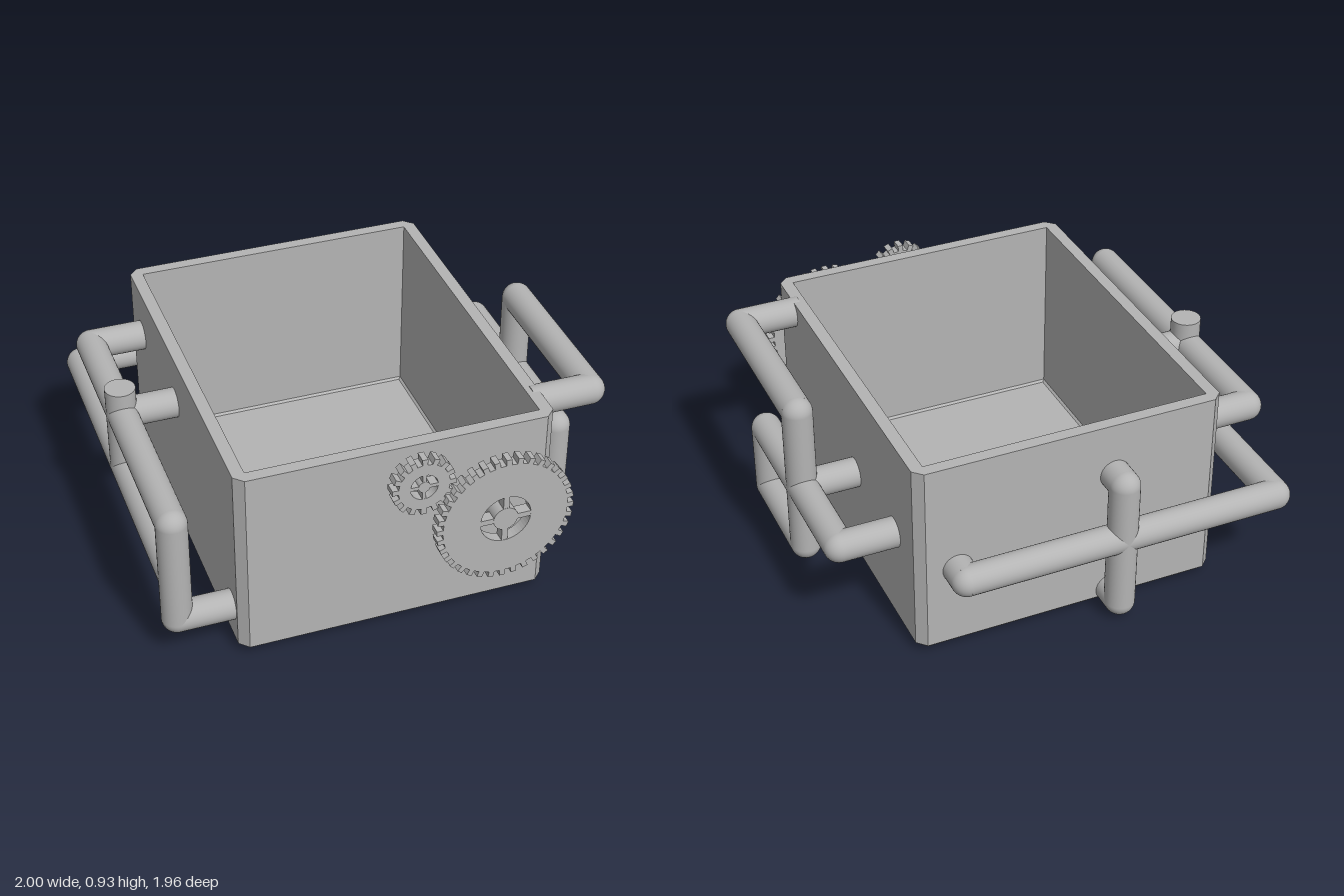
import * as THREE from 'three';

const R = 0.067; // pipe radius
const grey = new THREE.MeshStandardMaterial({ color: 0xb4b4b4 });
grey.name = 'plain grey';

function add(parent, geometry, name) {
  const mesh = new THREE.Mesh(geometry, grey);
  mesh.name = name;
  parent.add(mesh);
  return mesh;
}

// Rectangle with cut corners, at height y
function ring(hx, hz, cut, y) {
  const pts = [
    [hx, -hz + cut], [hx, hz - cut], [hx - cut, hz], [-hx + cut, hz],
    [-hx, hz - cut], [-hx, -hz + cut], [-hx + cut, -hz], [hx - cut, -hz],
  ];
  return pts.map(([x, z]) => new THREE.Vector3(x, y, z));
}

// Flat-faced skin through a series of rings
function loft(rings) {
  const pos = [];
  const tri = (a, b, c) => {
    const area = b.clone().sub(a).cross(c.clone().sub(a)).length();
    if (area > 1e-9) for (const p of [a, b, c]) pos.push(p.x, p.y, p.z);
  };
  for (let k = 0; k + 1 < rings.length; k++) {
    for (let i = 0; i < 8; i++) {
      const j = (i + 1) % 8, lo = rings[k], hi = rings[k + 1];
      tri(lo[i], hi[i], lo[j]);
      tri(hi[i], hi[j], lo[j]);
    }
  }
  const g = new THREE.BufferGeometry();
  g.setAttribute('position', new THREE.Float32BufferAttribute(pos, 3));
  g.computeVertexNormals();
  return g;
}

// Straight pipes along a path, with a ball at every inner bend
function pipe(parent, name, path) {
  const group = new THREE.Group();
  group.name = name;
  const pts = path.map((p) => new THREE.Vector3(...p));
  for (let i = 0; i + 1 < pts.length; i++) {
    const dir = pts[i + 1].clone().sub(pts[i]);
    const m = add(group, new THREE.CylinderGeometry(R, R, dir.length(), 32), 'pipeRun');
    m.position.copy(pts[i]).addScaledVector(dir, 0.5);
    m.quaternion.setFromUnitVectors(new THREE.Vector3(0, 1, 0), dir.normalize());
    if (i > 0) add(group, new THREE.SphereGeometry(R, 32, 20), 'pipeElbow').position.copy(pts[i]);
  }
  parent.add(group);
}

// Spoked gear on a shaft that reaches back to the box
function gear(parent, name, o) {
  const group = new THREE.Group();
  group.name = name;
  const shape = new THREE.Shape();
  const step = (Math.PI * 2) / o.teeth;
  for (let i = 0; i < o.teeth; i++) {
    [[-0.25, o.root], [-0.23, o.outer], [0.23, o.outer], [0.25, o.root]].forEach(([f, r], k) => {
      const a = (i + f) * step + Math.PI / 2;
      const x = r * Math.cos(a), y = r * Math.sin(a);
      if (i + k === 0) shape.moveTo(x, y); else shape.lineTo(x, y);
    });
  }
  shape.closePath();
  shape.holes.push(new THREE.Path().absarc(0, 0, o.hole, 0, Math.PI * 2, true));
  const depth = o.front - o.back;
  add(group, new THREE.ExtrudeGeometry(shape, { depth, bevelEnabled: false, curveSegments: 24 }), 'gearRim');
  // Four spokes between hub and rim
  const len = o.hole - o.hub + 0.01;
  for (let i = 0; i < 4; i++) {
    const a = (i * Math.PI) / 2, r = (o.hole + o.hub) / 2;
    const s = add(group, new THREE.BoxGeometry(len, o.spoke, depth - 0.002), 'gearSpoke');
    s.position.set(r * Math.cos(a), r * Math.sin(a), depth / 2);
    s.rotation.z = a;
  }
  const shaftLen = o.front - 0.82;
  const shaft = add(group, new THREE.CylinderGeometry(o.hub, o.hub, shaftLen, 32), 'gearShaft');
  shaft.rotation.x = Math.PI / 2;
  shaft.position.z = depth - shaftLen / 2;
  group.position.set(o.x, o.y, o.back);
  parent.add(group);
}

export function createModel() {
  const model = new THREE.Group();
  model.name = 'pipeAndGearBox';

  // Open box with chamfered corners and base
  const hx = 0.692, hz = 0.832, t = 0.055, H = 0.925, c = 0.04;
  const box = add(model, loft([
    ring(0, 0, 0, 0),
    ring(hx - c, hz - c, 0.017, 0),
    ring(hx, hz, c, c),
    ring(hx, hz, c, H),
    ring(hx - t, hz - t, 0, H),
    ring(hx - t, hz - t, 0, 0.06),
    ring(hx - t - 0.01, hz - t - 0.01, 0, 0.05),
    ring(0, 0, 0, 0.05),
  ]), 'openBox');
  box.position.set(-0.003, 0, 0.008);

  // Pipes on the left (+x) side
  const L = 0.933, wl = 0.66;
  pipe(model, 'leftLoopPipe', [
    [wl, 0.863, 0.64], [L, 0.863, 0.64], [L, 0.863, -0.117], [L, 0.17, -0.117],
    [L, 0.17, 0.358], [L, 0.48, 0.358], [L, 0.48, -0.575], [wl, 0.48, -0.575],
  ]);
  pipe(model, 'leftBracePipe', [[L, 0.48, -0.117], [wl, 0.48, -0.117]]);

  // Pipes on the right (-x) side, the lower one wrapping round the back
  const wr = -0.665, B = -0.913, wb = -0.79;
  pipe(model, 'rightUpperPipe', [
    [wr, 0.698, -0.625], [-L, 0.698, -0.625], [-L, 0.698, 0.725],
    [-L, 0.2, 0.725], [wr, 0.2, 0.725],
  ]);
  pipe(model, 'wrapAroundPipe', [
    [-L, 0.413, 0.725], [-L, 0.413, B], [0.51, 0.413, B], [0.51, 0.413, wb],
  ]);
  pipe(model, 'rightStandPipe', [[-L, 0.413, -0.07], [-L, 0.83, -0.07]]);
  pipe(model, 'rightBracePipe', [[-L, 0.698, -0.07], [wr, 0.698, -0.07]]);

  // Upright pipe on the back
  pipe(model, 'backUprightPipe', [
    [-0.198, 0.68, wb], [-0.198, 0.68, B], [-0.198, 0.077, B], [-0.198, 0.077, wb],
  ]);

  // Meshing gears on the front
  gear(model, 'largeGear', {
    x: 0.42, y: 0.553, back: 0.928, front: 0.98, teeth: 36,
    outer: 0.306, root: 0.279, hole: 0.113, hub: 0.055, spoke: 0.026,
  });
  gear(model, 'smallGear', {
    x: 0.064, y: 0.79, back: 0.896, front: 0.95, teeth: 16,
    outer: 0.139, root: 0.112, hole: 0.06, hub: 0.026, spoke: 0.016,
  });
  return model;
}
